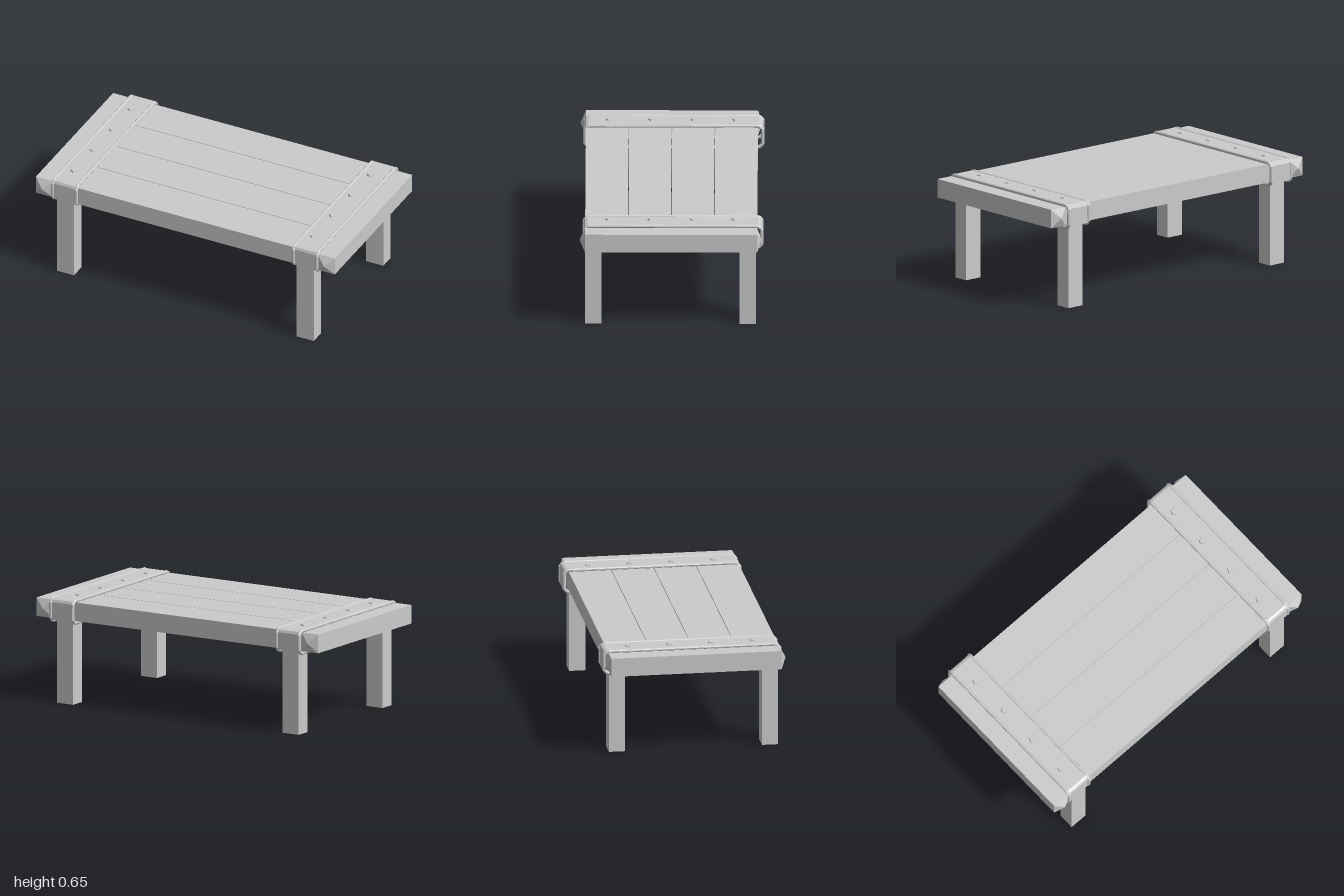
import * as THREE from 'three';

const mat = new THREE.MeshStandardMaterial({ color: 0xcccccc, flatShading: true });

// Extent of the table top
const FRONT = 0.517, BACK = -0.511, LOW = 0.515, HIGH = 0.629;

export function createModel() {
  const group = new THREE.Group();

  const add = (name, geometry, x = 0, y = 0, z = 0) => {
    const mesh = new THREE.Mesh(geometry, mat);
    mesh.name = name;
    mesh.position.set(x, y, z);
    group.add(mesh);
    return mesh;
  };
  const box = (name, x0, x1, y0, y1, z0, z1) =>
    add(name, new THREE.BoxGeometry(x1 - x0, y1 - y0, z1 - z0),
      (x0 + x1) / 2, (y0 + y1) / 2, (z0 + z1) / 2);

  // Four long planks with narrow seams
  const pitch = (FRONT - BACK) / 4, seam = 0.002;
  for (let i = 0; i < 4; i++) {
    const z = BACK + i * pitch;
    box('plank', -0.885, 0.885, LOW, HIGH,
      z + (i > 0 ? seam : 0), z + pitch - (i < 3 ? seam : 0));
  }

  // Strap profile in z and y: over the top and down both sides, open below
  const strapShape = () => {
    const outer = [[0.525, 0.512], [0.525, 0.62], [0.518, 0.635], [0.503, 0.642],
      [-0.52, 0.642], [-0.535, 0.635], [-0.542, 0.62], [-0.542, 0.512]];
    const inner = [[-0.534, 0.512], [-0.534, 0.618], [-0.518, 0.632],
      [0.501, 0.632], [0.517, 0.618], [0.517, 0.512]];
    return new THREE.Shape([...outer, ...inner].map(p => new THREE.Vector2(...p)));
  };
  const strapGeometry = new THREE.ExtrudeGeometry(strapShape(),
    { depth: 0.156, bevelEnabled: false });
  strapGeometry.translate(0, 0, -0.078).rotateY(-Math.PI / 2);

  // Closed rim loop with clipped corners
  const z0 = -0.539, z1 = 0.522, y0 = 0.503, y1 = 0.637, c = 0.02;
  const loop = [[z1, y0 + c], [z1, y1 - c], [z1 - c, y1], [z0 + c, y1],
    [z0, y1 - c], [z0, y0 + c], [z0 + c, y0], [z1 - c, y0]];
  const path = new THREE.CatmullRomCurve3(
    loop.map(([z, y]) => new THREE.Vector3(0, y, z)), true, 'catmullrom', 0);
  const rimGeometry = new THREE.TubeGeometry(path, 200, 0.011, 8, true);

  // Square pyramid pointing along +z
  const pyramid = height => {
    const g = new THREE.ConeGeometry(Math.SQRT1_2, 1, 4, 1);
    g.rotateY(Math.PI / 4).translate(0, 0.5, 0).rotateX(Math.PI / 2);
    return g.scale(0.115, HIGH - LOW, height);
  };

  for (const s of [-1, 1]) {
    // End board with a pointed cap at each end
    const mid = s * 0.9425, y = (LOW + HIGH) / 2;
    box('endBoard', mid - 0.0575, mid + 0.0575, LOW, HIGH, BACK, FRONT);
    add('frontCap', pyramid(0.033), mid, y, FRONT);
    add('backCap', pyramid(0.027), mid, y, BACK).rotation.y = Math.PI;

    // Strap and its two rims
    add('strap', strapGeometry, s * 0.805);
    for (const x of [0.727, 0.883]) add('strapRim', rimGeometry, s * x);

    // Five-sided nail heads
    for (const z of [0.375, 0.122, -0.13, -0.38]) {
      add('nailHead', new THREE.CylinderGeometry(0.02, 0.025, 0.012, 5),
        s * 0.8 - 0.013, 0.645, z);
    }

    // Legs
    const leg = s * 0.802;
    box('frontLeg', leg - 0.057, leg + 0.057, 0, LOW, 0.419, 0.517);
    box('backLeg', leg - 0.057, leg + 0.057, 0, LOW, -0.505, -0.407);
  }

  return group;
}
